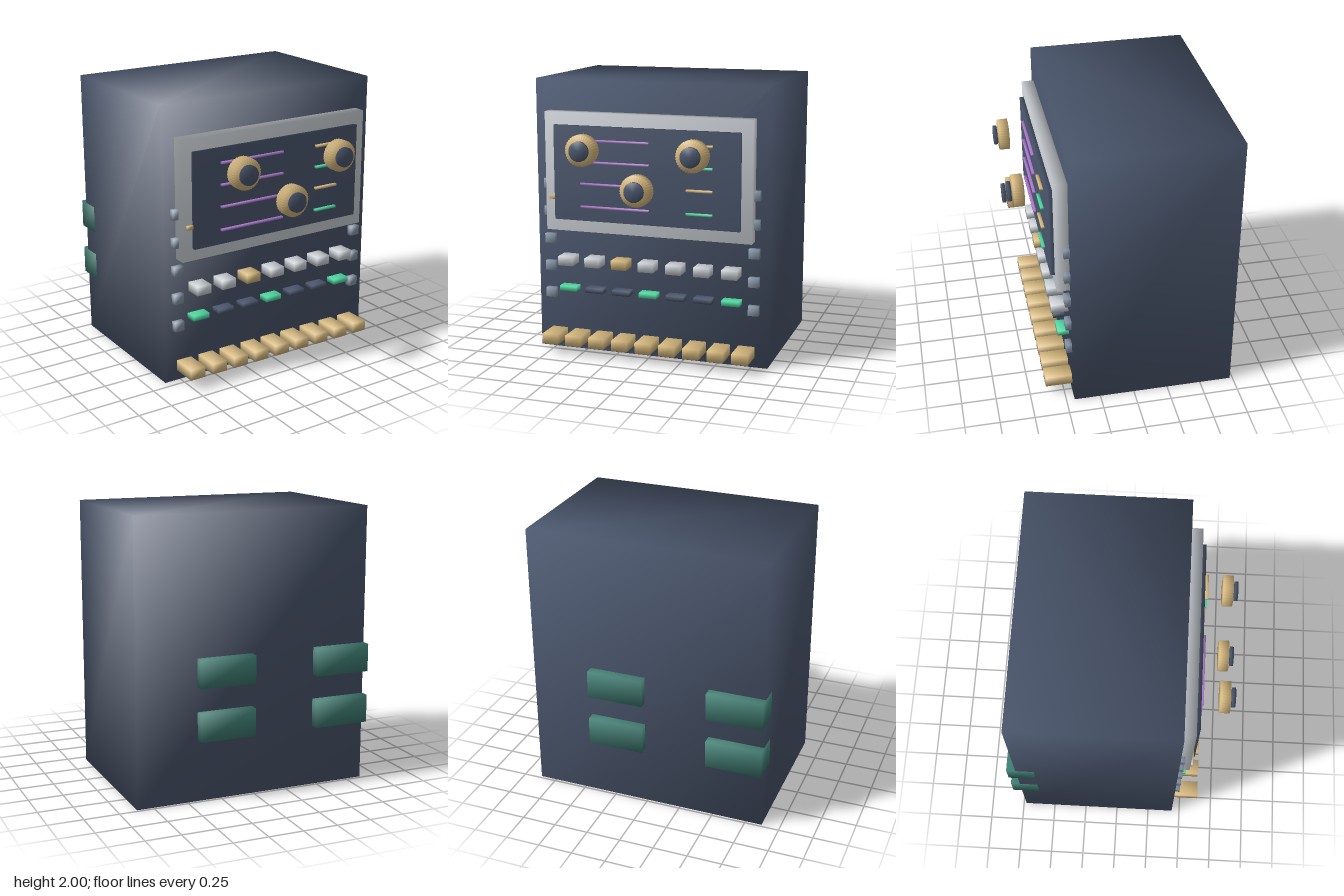
import * as THREE from 'three';
import { mergeVertices } from 'three/addons/utils/BufferGeometryUtils.js';

const mat = (name, color) => new THREE.MeshStandardMaterial({ name, color });

// Share vertices so that shading runs softly round the corners
function soften(geo) {
  geo.deleteAttribute('normal');
  geo.deleteAttribute('uv');
  const merged = mergeVertices(geo, 1e-4);
  merged.computeVertexNormals();
  return merged;
}

export function createModel() {
  const model = new THREE.Group();
  model.name = 'controlConsole';
  const navy = mat('navy', 0x4c586f);
  const silver = mat('silver', 0xced3d8);
  const gold = mat('gold', 0xd8ba80);
  const steel = mat('steel', 0x8c9bae);
  const purple = mat('purple', 0xac78cc);
  const mint = mat('mint', 0x4fd8a2);
  const teal = mat('teal', 0x3f7d72);

  // Box given by its extents on each axis
  function box(name, material, [x0, x1], [y0, y1], [z0, z1]) {
    const mesh = new THREE.Mesh(soften(new THREE.BoxGeometry(x1 - x0, y1 - y0, z1 - z0)), material);
    mesh.position.set((x0 + x1) / 2, (y0 + y1) / 2, (z0 + z1) / 2);
    mesh.name = name;
    model.add(mesh);
  }
  const span = (c, size) => [c - size / 2, c + size / 2];

  // Cabinet, display frame and screen
  box('cabinet', navy, [-0.87, 0.87], [0, 2], [-0.73, 0.44]);
  box('displayFrame', silver, [-0.766, 0.766], [0.915, 1.775], [0.43, 0.53]);
  box('screen', navy, [-0.687, 0.687], [1.003, 1.685], [0.52, 0.56]);
  box('frameTab', gold, [-0.735, -0.68], [1.145, 1.175], [0.52, 0.545]);

  // Readout lines
  [1.585, 1.43, 1.273, 1.108].forEach((y, i) => {
    box('longReadout', purple, [-0.48, 0.03], span(y, 0.015), [0.555, 0.58]);
    box('shortReadout', i % 2 ? mint : gold, [0.307, 0.493], span(y, 0.016), [0.565, 0.588]);
  });

  // Knobs: knurled ring with a separate cap in front
  for (const [x, y] of [[-0.4, 1.54], [0.4, 1.54], [0, 1.28]]) {
    const ringGeo = new THREE.CylinderGeometry(0.112, 0.112, 0.073, 72);
    const p = ringGeo.attributes.position;
    for (let i = 0; i < p.count; i++) {
      const tooth = Math.round(Math.atan2(p.getX(i), p.getZ(i)) / (Math.PI / 36));
      const k = tooth % 2 ? 0.96 : 1;
      p.setX(i, p.getX(i) * k);
      p.setZ(i, p.getZ(i) * k);
    }
    const ring = new THREE.Mesh(soften(ringGeo), gold);
    ring.name = 'knobRing';
    ring.position.z = 0.727;
    const cap = new THREE.Mesh(soften(new THREE.CylinderGeometry(0.07, 0.07, 0.024, 32)), navy);
    cap.name = 'knobCap';
    cap.position.z = 0.787;
    ring.rotation.x = cap.rotation.x = Math.PI / 2;
    const knob = new THREE.Group();
    knob.name = 'knob';
    knob.position.set(x, y, 0);
    knob.add(ring, cap);
    model.add(knob);
  }

  // Side studs
  for (const side of [-1, 1])
    for (let i = 0; i < 5; i++)
      box('stud', steel, span(side * 0.769, 0.074), span(0.425 + i * 0.205, 0.07), [0.43, 0.482]);

  // Button row and indicator row
  for (let i = 0; i < 7; i++) {
    const x = (i - 3) * 0.205;
    box('button', i === 2 ? gold : silver, span(x, 0.112), span(0.692, 0.067), [0.43, 0.562]);
    box('indicator', i % 3 ? navy : mint, span(x, 0.13), span(0.475, 0.037), [0.43, 0.522]);
  }

  // Bottom keys
  for (let i = -4; i <= 4; i++)
    box('key', gold, span(i * 0.179, 0.118), span(0.113, 0.077), [0.43, 0.635]);

  // Back vents
  for (const x of [-0.667, 0.217])
    for (const y of [0.54, 0.917])
      box('backVent', teal, span(x, 0.408), span(y, 0.2), [-0.797, -0.597]);

  return model;
}
